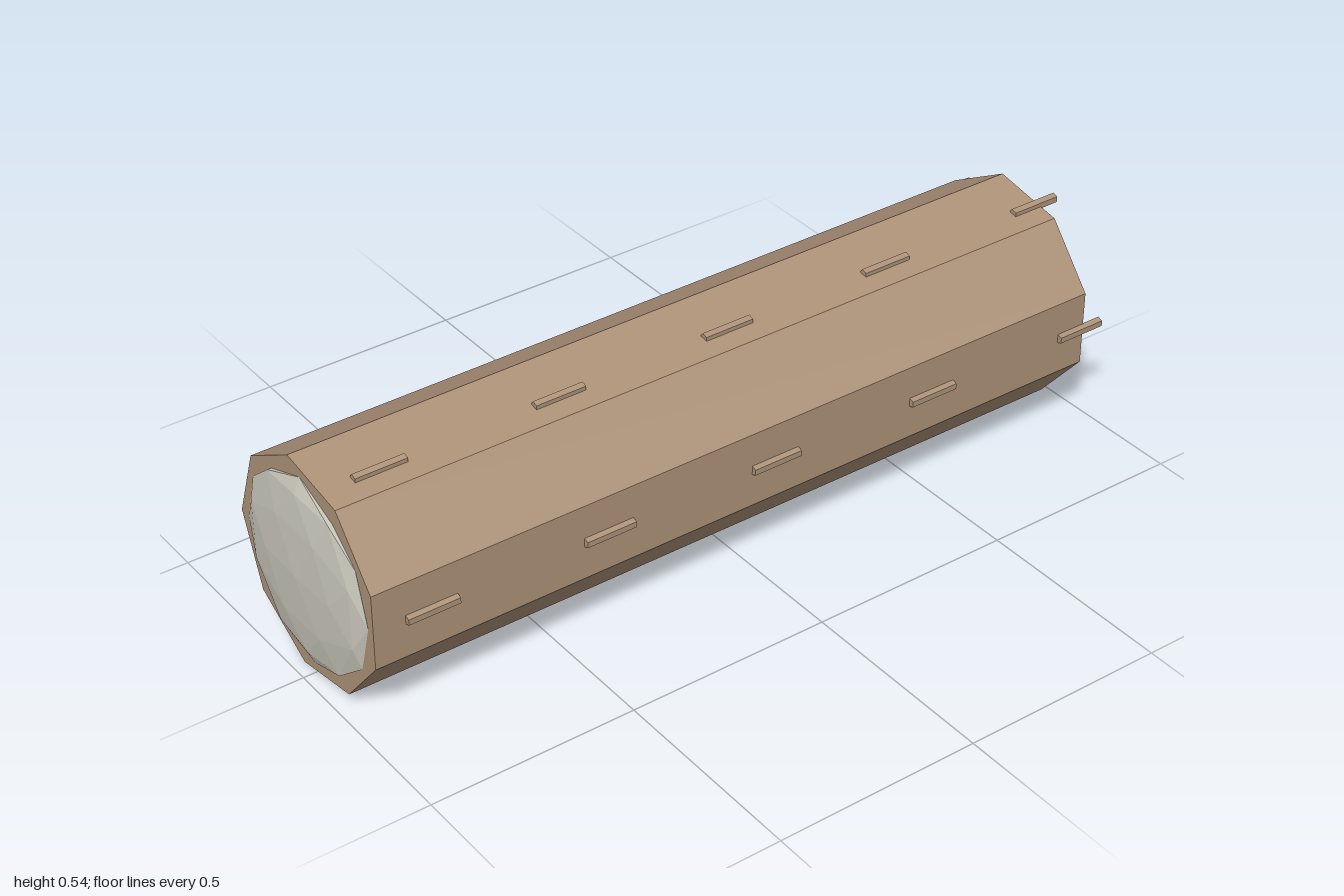
import * as THREE from 'three';

export function createModel() {
  const group = new THREE.Group();
  const bark = new THREE.MeshStandardMaterial({ name: 'warm brown', color: 0xae9379, flatShading: true });
  const pale = new THREE.MeshStandardMaterial({ name: 'pale grey', color: 0xc8c6ba, flatShading: true });
  const centreY = 0.268, centreZ = 0.003;

  const add = (name, geometry, material, x, y, z) => {
    const mesh = new THREE.Mesh(geometry, material);
    mesh.name = name;
    mesh.position.set(x, y, z);
    group.add(mesh);
  };

  // Prism lying along x, with one corner pointing to the back
  const prism = (radius, length, sides) =>
    new THREE.CylinderGeometry(radius, radius, length, sides, 1, false, Math.PI).rotateZ(-Math.PI / 2);

  // Nine-sided body
  add('body', prism(0.273, 1.92, 9), bark, -0.01, centreY, centreZ);

  // Flattened faceted dome on each end
  const dome = new THREE.IcosahedronGeometry(0.24, 1).scale(0.03 / 0.24, 1, 1);
  add('leftEndDome', dome, pale, 0.951, centreY, 0.002);
  add('rightEndDome', dome, pale, -0.971, centreY, 0.002);

  // Five rows of five pegs set into the surface
  const peg = prism(0.012, 0.126, 5);
  for (let row = 0; row < 5; row++) {
    const angle = row * Math.PI * 2 / 5;
    for (let i = 0; i < 5; i++) {
      add('peg', peg, bark, -0.83 + i * 0.4415,
        centreY + 0.26 * Math.sin(angle), centreZ - 0.001 + 0.26 * Math.cos(angle));
    }
  }
  return group;
}
